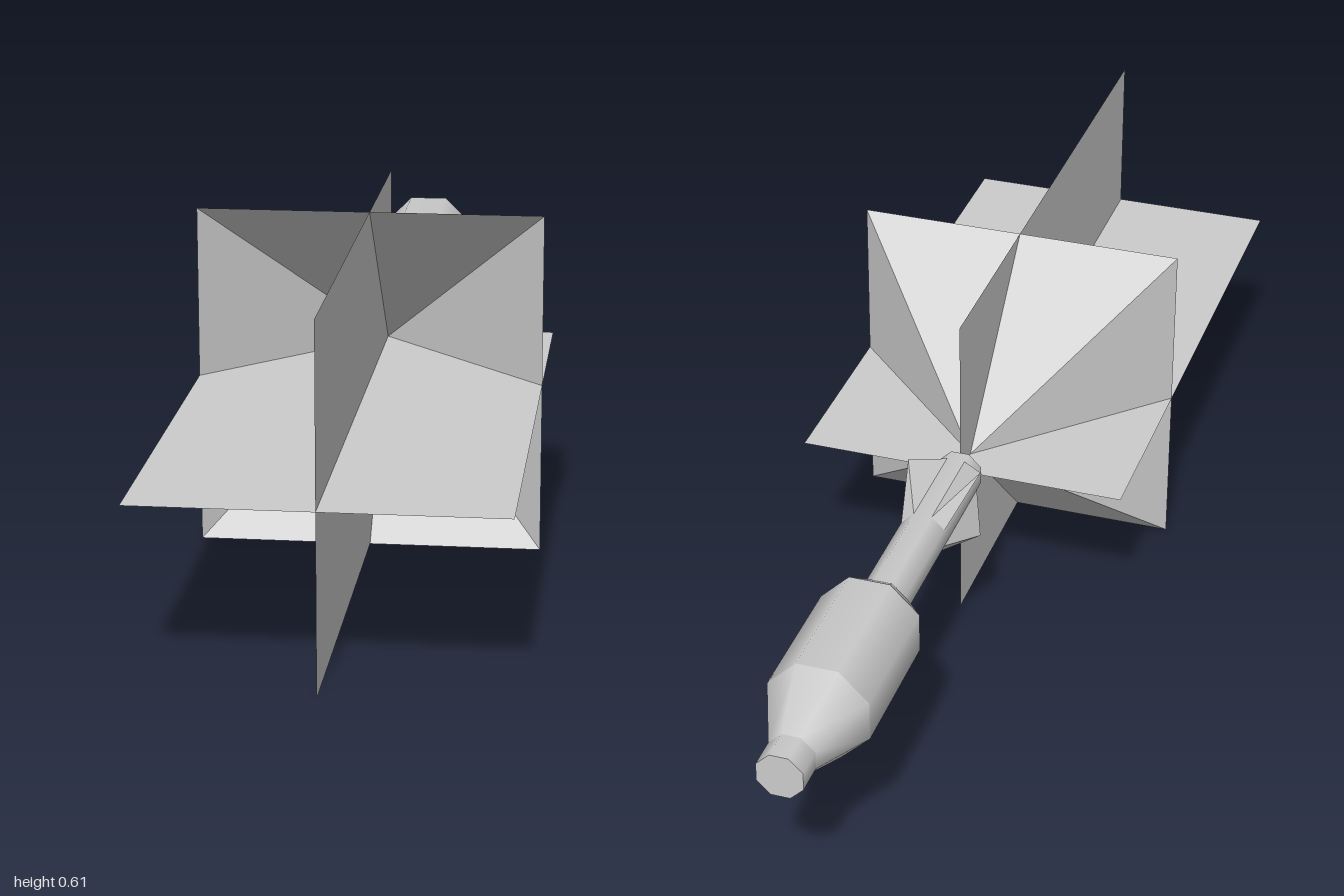
import * as THREE from 'three';

const CY = 0.303; // height of the long axis
const HALF = 0.303; // half width of the flash sheets

export function createModel() {
  const model = new THREE.Group();
  const solid = new THREE.MeshStandardMaterial({ color: 0xcccccc });
  const faceted = new THREE.MeshStandardMaterial({ color: 0xcccccc, flatShading: true, side: THREE.DoubleSide });

  const add = (name, geometry, material) => {
    const mesh = new THREE.Mesh(geometry, material);
    mesh.name = name;
    mesh.position.y = CY;
    model.add(mesh);
    return mesh;
  };

  // Triangles listed as corner points
  const facets = (triangles) => {
    const g = new THREE.BufferGeometry().setFromPoints(triangles.flat().map((p) => new THREE.Vector3(...p)));
    g.computeVertexNormals();
    return g;
  };

  // Eight-sided tube section along z; radii measured to the flats
  const section = (name, zFront, rFront, zBack, rBack, open = false) => {
    const k = 1 / Math.cos(Math.PI / 8);
    const g = new THREE.CylinderGeometry(rFront * k, rBack * k, zFront - zBack, 8, 1, open, Math.PI / 8);
    g.rotateX(Math.PI / 2);
    g.translate(0, 0, (zFront + zBack) / 2);
    add(name, g, solid);
  };

  // Barrel and its swollen body
  section('barrel', -0.09, 0.04, -0.53, 0.04);
  section('bodyFrontTaper', -0.515, 0.045, -0.575, 0.088);
  section('body', -0.575, 0.088, -0.825, 0.088, true);
  section('bodyRearTaper', -0.825, 0.088, -0.945, 0.04);
  section('rearStub', -0.945, 0.04, -1, 0.04);

  // Four spikes growing from the diagonal flats of the barrel
  const a = 0.04, b = 0.0166, z0 = -0.115, z1 = -0.3;
  const tip = [0.068, 0.068, -0.18];
  const ring = [[a, b, z0], [a, b, z1], [b, a, z1], [b, a, z0]];
  const spike = facets(ring.map((p, i) => [p, ring[(i + 1) % 4], tip]));
  for (let i = 0; i < 4; i++) {
    add('sideFlashSpike', spike, faceted).rotation.z = (i * Math.PI) / 2;
  }

  // Two long crossed sheets of the main flash
  for (const [name, angle] of [['horizontalFlashSheet', 0], ['verticalFlashSheet', Math.PI / 2]]) {
    const g = new THREE.PlaneGeometry(HALF * 2, 1.09);
    g.rotateX(-Math.PI / 2);
    g.translate(0, 0, 0.455);
    add(name, g, faceted).rotation.z = angle;
  }

  // Open pyramid flaring forward around the sheets
  const rim = [[-1, -1], [1, -1], [1, 1], [-1, 1]].map(([x, y]) => [x * HALF, y * HALF, 0.27]);
  const apex = [0, 0, -0.03];
  add('flashCone', facets(rim.map((p, i) => [p, rim[(i + 1) % 4], apex])), faceted);

  return model;
}
